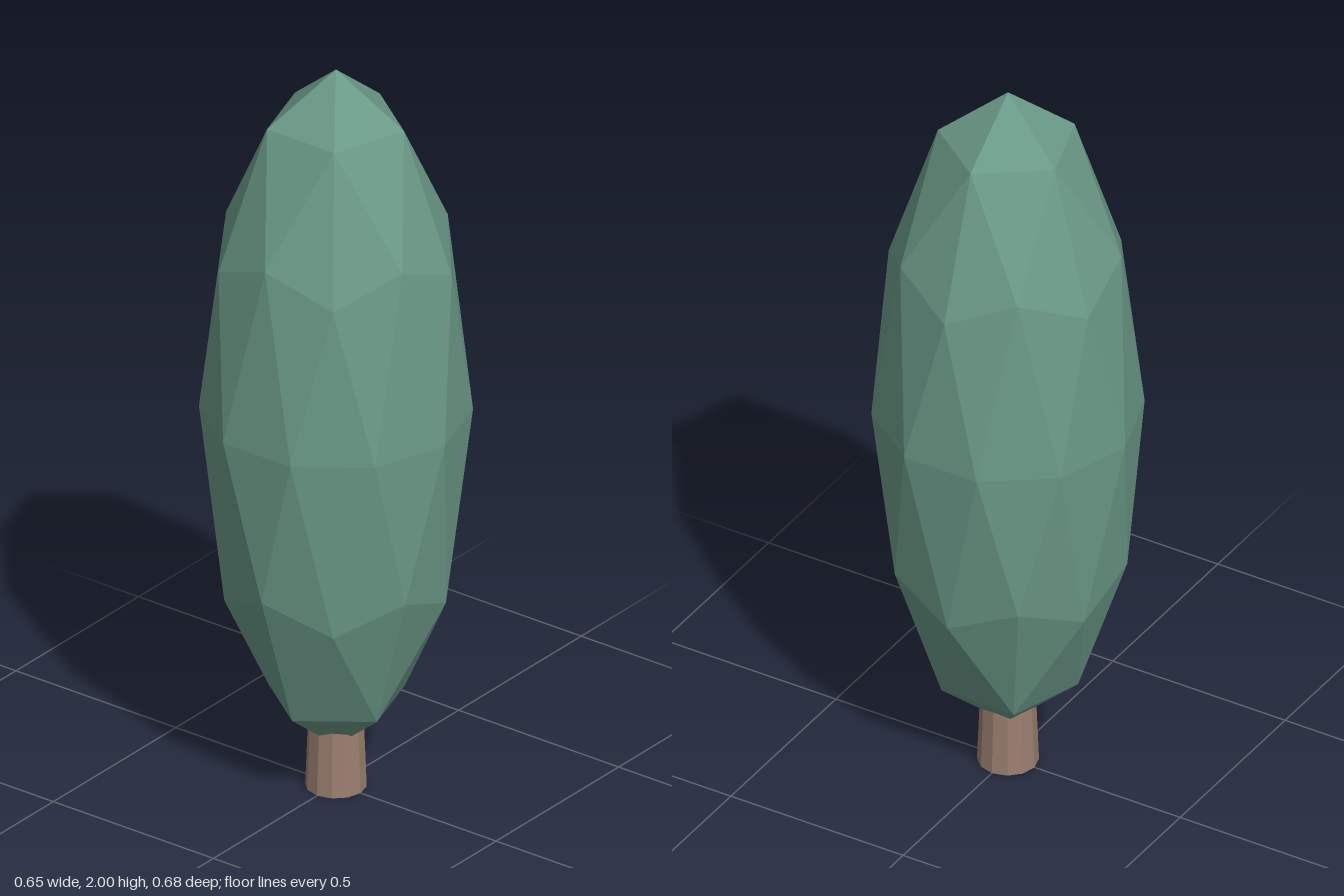
import * as THREE from 'three';

export function createModel() {
  const model = new THREE.Group();
  model.name = 'tree';

  const foliageGreen = new THREE.MeshStandardMaterial({ color: 0x6b9a88, flatShading: true });
  foliageGreen.name = 'foliage green';
  const barkBrown = new THREE.MeshStandardMaterial({ color: 0x9a7e6f, flatShading: true });
  barkBrown.name = 'bark brown';

  // Foliage: faceted icosphere with one vertex turned to the top, stretched upward
  const radius = 0.34, halfHeight = 0.945;
  const golden = (1 + Math.sqrt(5)) / 2;
  const crown = new THREE.IcosahedronGeometry(1, 1);
  crown.rotateZ(-Math.atan(1 / golden));
  crown.scale(radius, halfHeight, radius);
  crown.translate(0, 2 - halfHeight, 0);
  crown.computeVertexNormals();
  const foliage = new THREE.Mesh(crown, foliageGreen);
  foliage.name = 'foliage';
  model.add(foliage);

  // Trunk: slightly tapered, its top hidden inside the foliage
  const trunkHeight = 0.28;
  const trunk = new THREE.Mesh(
    new THREE.CylinderGeometry(0.066, 0.077, trunkHeight, 12),
    barkBrown
  );
  trunk.name = 'trunk';
  trunk.position.y = trunkHeight / 2;
  model.add(trunk);

  return model;
}
